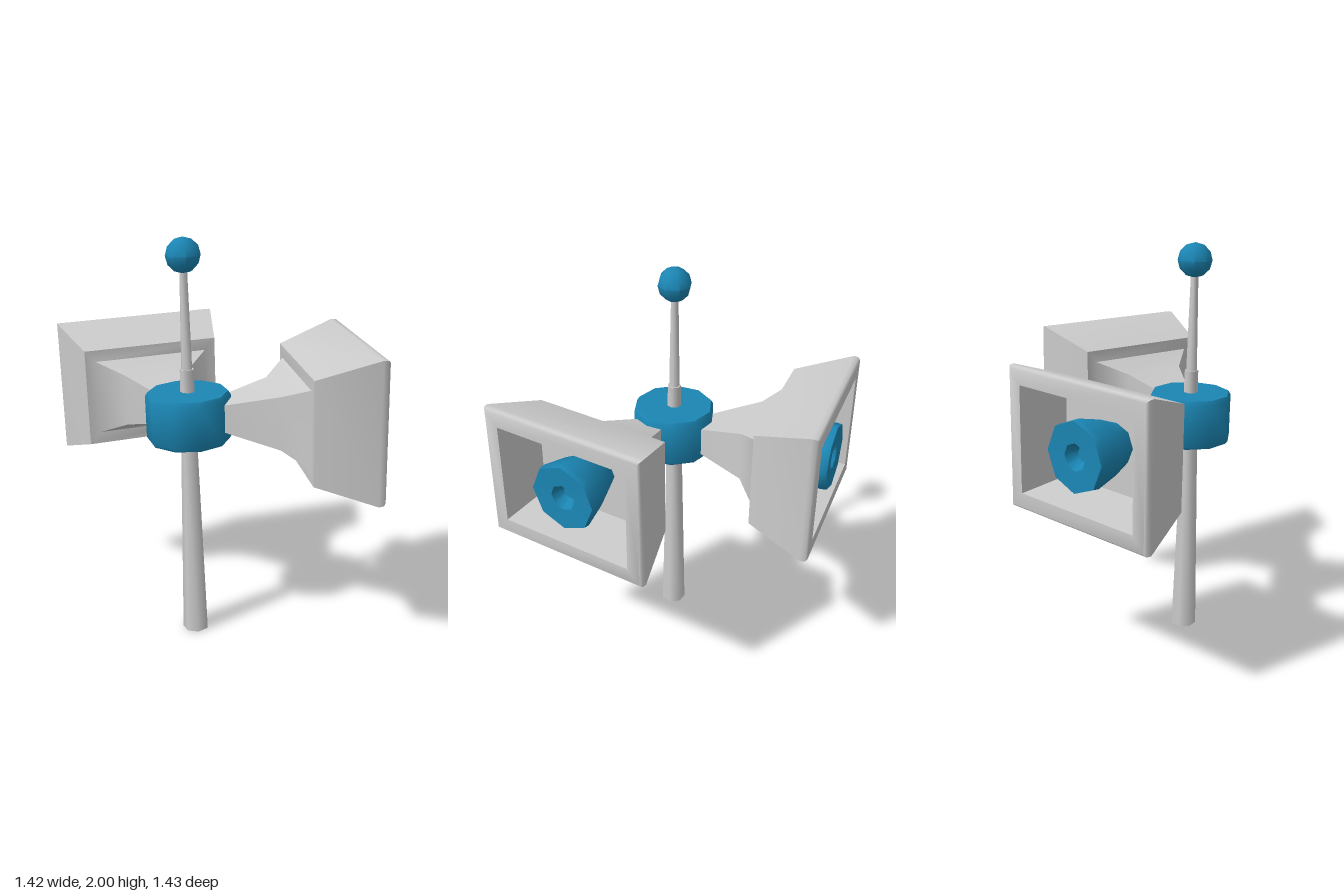
import * as THREE from 'three';
import { toCreasedNormals } from 'three/addons/utils/BufferGeometryUtils.js';

const grey = new THREE.MeshStandardMaterial({ color: 0xcccccc });
const blue = new THREE.MeshStandardMaterial({ color: 0x1b86b4 });

function part(name, geometry, material, parent) {
  const mesh = new THREE.Mesh(toCreasedNormals(geometry, 0.9), material);
  mesh.name = name;
  parent.add(mesh);
  return mesh;
}

function lathe(points, sides, phase = 0) {
  return new THREE.LatheGeometry(points.map(([r, y]) => new THREE.Vector2(r, y)), sides, phase);
}

// Skin over rectangular sections [z, width, height, sideways shift], capped at the last one
function loftRectangles(sections) {
  const corners = [[-1, -1], [1, -1], [1, 1], [-1, 1]];
  const positions = [];
  const indices = [];
  for (const [z, w, h, shift = 0] of sections) {
    for (const [cx, cy] of corners) positions.push(cx * w / 2 + shift, cy * h / 2, z);
  }
  for (let j = 0; j < sections.length - 1; j++) {
    for (let i = 0; i < 4; i++) {
      const a = j * 4 + i, b = j * 4 + (i + 1) % 4;
      indices.push(a, b, b + 4, a, b + 4, a + 4);
    }
  }
  const e = (sections.length - 1) * 4;
  indices.push(e, e + 1, e + 2, e, e + 2, e + 3);
  const geometry = new THREE.BufferGeometry();
  geometry.setAttribute('position', new THREE.Float32BufferAttribute(positions, 3));
  geometry.setIndex(indices);
  return geometry;
}

// Loudspeaker: origin at the centre of its mouth, facing local +z
function createSpeaker(name, skew) {
  const speaker = new THREE.Group();
  speaker.name = name;
  part('speakerHorn', loftRectangles([
    [-0.72, 0.12, 0.11, skew],
    [-0.43, 0.34, 0.26],
    [-0.32, 0.59, 0.38],
    [-0.32, 0.70, 0.50],
    [-0.035, 0.855, 0.685],
    [-0.01, 0.85, 0.68],
    [0, 0.83, 0.66],
    [0, 0.70, 0.52],
    [-0.27, 0.66, 0.47],
  ]), grey, speaker);
  // Driver with a small hollow in its face
  const driver = part('speakerDriver', lathe([
    [0.10, -0.27], [0.14, -0.16], [0.172, -0.03], [0.168, 0], [0.065, -0.005], [0.035, -0.06], [0, -0.06],
  ], 8), blue, speaker);
  driver.rotation.x = Math.PI / 2;
  return speaker;
}

export function createModel() {
  const model = new THREE.Group();
  model.name = 'loudspeakerPole';

  // The whole assembly leans slightly to one side
  const assembly = new THREE.Group();
  assembly.name = 'leaningAssembly';
  assembly.position.set(-0.115, 0.003, 0.157);
  assembly.rotation.z = 0.027;
  model.add(assembly);

  // Pole, collar and thin mast
  part('pole', lathe([
    [0, 0], [0.065, 0], [0.04, 1.05], [0.034, 1.38], [0.027, 1.38], [0.018, 1.88],
  ], 7), grey, assembly);

  // Ball on top
  part('topBall', new THREE.SphereGeometry(0.083, 8, 6), blue, assembly).position.y = 1.915;

  // Ten-sided hub with bevelled rims
  part('hub', lathe([
    [0, 1.03], [0.195, 1.03], [0.205, 1.045], [0.205, 1.25], [0.193, 1.27], [0, 1.27],
  ], 10, 0.1), blue, assembly);

  // Two speakers, mirror images of each other
  const left = createSpeaker('leftSpeaker', 0.045);
  left.position.set(0.822, 1.157, 0.128);
  left.rotation.y = 1.512;
  const rear = createSpeaker('rearSpeaker', -0.04);
  rear.position.set(-0.139, 1.135, -0.822);
  rear.rotation.y = -3.013;
  assembly.add(left, rear);

  return model;
}
